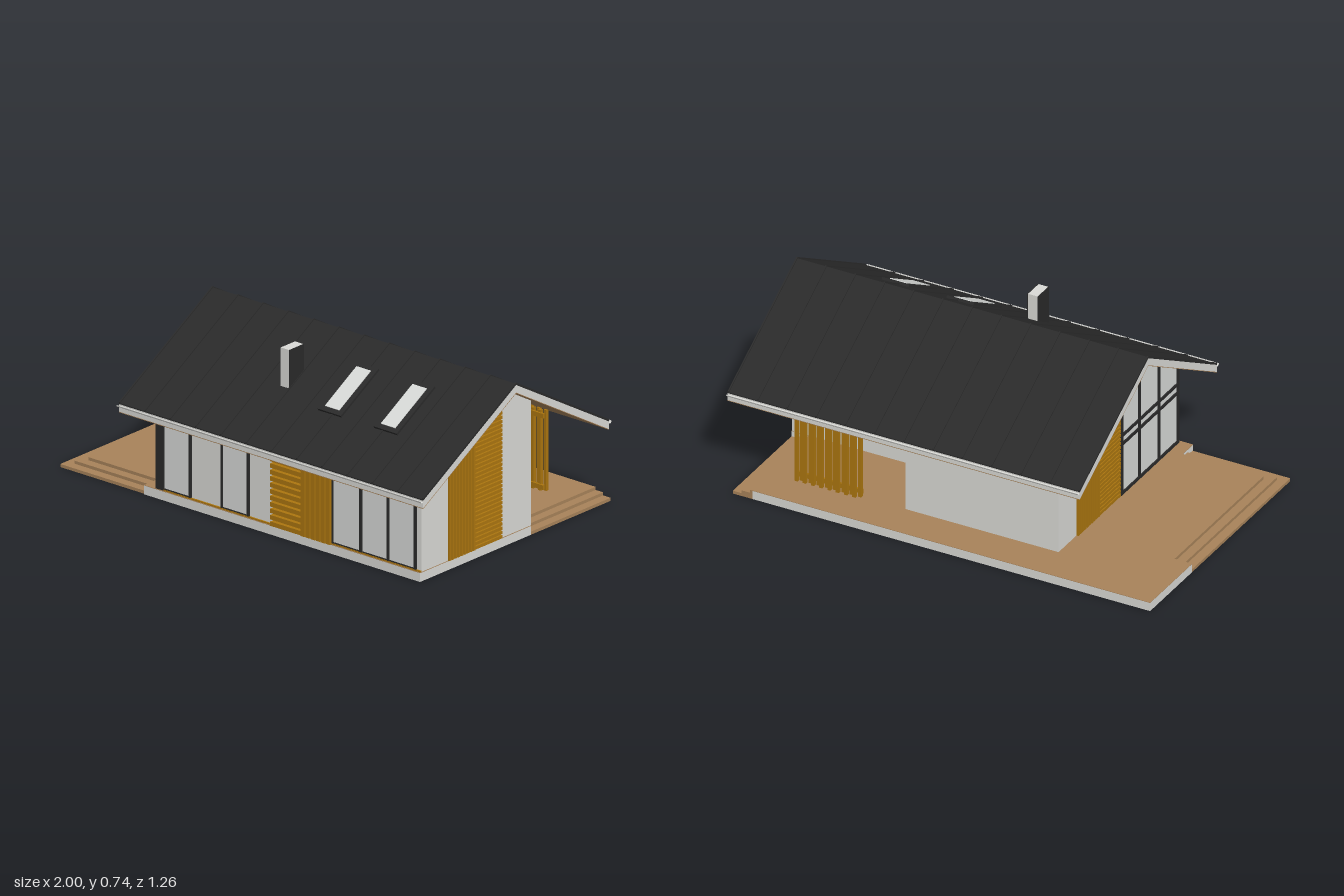
import * as THREE from 'three';

const mat = (name, color) => {
  const m = new THREE.MeshStandardMaterial({ color });
  m.name = name;
  return m;
};

const RIDGE_Z = 0.045, RIDGE_Y = 0.73, RUN = 0.573, SLOPE = 0.576;
const roofY = (z) => RIDGE_Y - SLOPE * Math.abs(z - RIDGE_Z);
const underY = (z) => roofY(z) - 0.042;

export function createModel() {
  const light = mat('light render', 0xdadad6);
  const glass = mat('glass', 0xd8dad8);
  const black = mat('black metal', 0x2a2a2a);
  const deckWood = mat('deck wood', 0xa8835a);
  const slatWood = mat('slat wood', 0xac760f);

  const house = new THREE.Group();
  house.name = 'house';
  const group = (name, parent = house) => {
    const g = new THREE.Group();
    g.name = name;
    parent.add(g);
    return g;
  };
  const add = (parent, name, geo, m) => {
    const mesh = new THREE.Mesh(geo, m);
    mesh.name = name;
    parent.add(mesh);
    return mesh;
  };
  // Box given by its limits on each axis
  const box = (parent, name, m, x0, x1, y0, y1, z0, z1) => {
    const mesh = add(parent, name, new THREE.BoxGeometry(x1 - x0, y1 - y0, z1 - z0), m);
    mesh.position.set((x0 + x1) / 2, (y0 + y1) / 2, (z0 + z1) / 2);
    return mesh;
  };
  const shapeOf = (pts) => new THREE.Shape(pts.map(([a, b]) => new THREE.Vector2(a, b)));
  // Profile of [z, y] points extruded from x0 to x1
  const profile = (parent, name, m, pts, x0, x1) => {
    const geo = new THREE.ExtrudeGeometry(shapeOf(pts), { depth: x1 - x0, bevelEnabled: false });
    geo.rotateY(-Math.PI / 2).translate(x1, 0, 0);
    return add(parent, name, geo, m);
  };
  // Plan of [x, z] points extruded from y0 to y1
  const plan = (parent, name, m, pts, y0, y1) => {
    const geo = new THREE.ExtrudeGeometry(shapeOf(pts.map(([x, z]) => [x, -z])), { depth: y1 - y0, bevelEnabled: false });
    geo.rotateX(-Math.PI / 2).translate(0, y0, 0);
    return add(parent, name, geo, m);
  };

  // Base slab, notched where the steps sit, with a thin deck on top
  const base = group('base');
  const outline = [[-1, -0.63], [0.83, -0.63], [0.83, -0.14], [0.92, -0.14], [0.92, 0.545],
    [-0.55, 0.545], [-0.55, 0.45], [-0.91, 0.45], [-0.91, -0.28], [-1, -0.28]];
  plan(base, 'slab', light, outline, 0, 0.038);
  plan(base, 'deckTop', deckWood, outline, 0.038, 0.04);
  const steps = group('steps', base);
  for (let i = 0; i < 3; i++) {
    const h = 0.04 * (i + 1) / 3, d = 0.04 * i;
    box(steps, 'leftStep', deckWood, -1 + d, -0.91, 0, h, -0.28, 0.54 - d);
    box(steps, 'frontStep', deckWood, -1 + d, -0.55, 0, h, 0.45, 0.54 - d);
    box(steps, 'backStep', deckWood, 0.83, 0.92 - d, 0, h, -0.63, -0.14);
  }

  // Walls, with an open porch at the back
  const walls = group('walls');
  profile(walls, 'mainWalls', light, [[-0.14, 0.04], [0.535, 0.04], [0.535, underY(0.535)],
    [RIDGE_Z, underY(RIDGE_Z)], [-0.14, underY(-0.14)]], -0.485, 0.918);
  profile(walls, 'rearWalls', light, [[-0.46, 0.04], [-0.14, 0.04], [-0.14, underY(-0.14)],
    [-0.46, underY(-0.46)]], -0.485, 0.22);

  // Slatted cladding on a gable: flat slats near the ridge, upright ones beyond
  const gableSlats = (name, x0, x1, zNear, zMid, zFar) => {
    const g = group(name);
    const dir = Math.sign(zFar - zNear), pitch = 0.0185;
    for (let y = 0.042; y < underY(RIDGE_Z) - 0.02; y += pitch) {
      const reach = (RIDGE_Y - 0.042 - y - 0.013) / SLOPE;
      const end = dir > 0 ? Math.min(zMid, RIDGE_Z + reach) : Math.max(zMid, RIDGE_Z - reach);
      box(g, 'flatSlat', slatWood, x0, x1, y, y + 0.0135, Math.min(zNear, end), Math.max(zNear, end));
    }
    const n = Math.round(Math.abs(zFar - zMid) / pitch);
    for (let i = 0; i < n; i++) {
      const a = zMid + dir * i * pitch, b = a + dir * 0.0135;
      const z0 = Math.min(a, b), z1 = Math.max(a, b);
      profile(g, 'uprightSlat', slatWood, [[z0, 0.04], [z1, 0.04], [z1, underY(z1)], [z0, underY(z0)]], x0, x1);
    }
  };
  gableSlats('leftGableSlats', 0.917, 0.927, 0.046, 0.21, 0.37);
  gableSlats('rightGableSlats', -0.494, -0.484, 0.044, -0.13, -0.31);

  // Slatted front panel and sill
  const front = group('frontPanel');
  for (let i = 0; i < 13; i++) {
    const y = 0.042 + i * 0.028;
    box(front, 'flatSlat', slatWood, 0.13, 0.29, y, Math.min(y + 0.019, 0.4), 0.534, 0.554);
  }
  for (let i = 0; i < 6; i++) {
    const x = 0.292 + i * 0.0265;
    box(front, 'uprightSlat', slatWood, x, x + 0.021, 0.04, 0.4, 0.534, 0.554);
  }
  box(front, 'sill', slatWood, -0.45, 0.918, 0.04, 0.046, 0.534, 0.542);

  // Freestanding screen on the porch
  const screen = group('porchScreen');
  for (let i = 0; i < 16; i++) {
    const x = 0.42 + i * 0.019, z = i % 2 ? -0.48 : -0.467;
    box(screen, 'screenSlat', slatWood, x, x + 0.0145, 0.04, 0.39, z, z + 0.015);
  }
  box(screen, 'screenRail', slatWood, 0.42, 0.72, 0.36, 0.38, -0.455, -0.445);
  box(screen, 'screenRail', slatWood, 0.42, 0.72, 0.05, 0.07, -0.455, -0.445);

  // Front windows
  const windows = group('frontWindows');
  for (const [a, b] of [[-0.45, -0.31], [-0.14, 0], [0.45, 0.6], [0.6, 0.745], [0.745, 0.89]]) {
    box(windows, 'pane', glass, a, b, 0.046, 0.4, 0.533, 0.537);
    box(windows, 'mullion', black, b - 0.006, b + 0.006, 0.046, 0.4, 0.533, 0.543);
    box(windows, 'jamb', black, a - 0.003, a + 0.003, 0.046, 0.4, 0.533, 0.543);
    box(windows, 'bottomRail', black, a, b, 0.046, 0.05, 0.533, 0.541);
  }
  box(windows, 'cornerPost', black, -0.491, -0.45, 0.04, underY(0.542), 0.52, 0.541);

  // Glazed right gable
  const glazing = group('gableGlazing');
  const gx0 = -0.494, gx1 = -0.484;
  profile(glazing, 'gablePane', glass, [[0.05, 0.045], [0.53, 0.045], [0.53, underY(0.53)],
    [0.05, underY(0.05)]], -0.488, gx1);
  for (const z of [0.05, 0.2, 0.36, 0.52]) {
    profile(glazing, 'gableMullion', black, [[z, 0.04], [z + 0.014, 0.04],
      [z + 0.014, underY(z + 0.014)], [z, underY(z)]], gx0, gx1);
  }
  for (const y of [0.04, 0.27, 0.31]) box(glazing, 'transom', black, gx0, gx1, y, y + 0.013, 0.05, 0.53);
  profile(glazing, 'topRail', black, [[0.05, underY(0.05) - 0.016], [0.53, underY(0.53) - 0.016],
    [0.53, underY(0.53)], [0.05, underY(0.05)]], gx0, gx1);

  // Roof: light body with black covering, seams and a boarded soffit
  const roof = group('roof');
  const X0 = -0.62, X1 = 1, Z0 = RIDGE_Z - RUN, Z1 = RIDGE_Z + RUN;
  const band = (name, m, top, bottom, x0, x1) => profile(roof, name, m, [
    [Z0, roofY(Z0) + bottom], [RIDGE_Z, RIDGE_Y + bottom], [Z1, roofY(Z1) + bottom],
    [Z1, roofY(Z1) + top], [RIDGE_Z, RIDGE_Y + top], [Z0, roofY(Z0) + top]], x0, x1);
  band('roofBody', light, -0.005, -0.038, X0, X1);
  band('roofCovering', black, 0, -0.005, X0, X1);
  band('soffit', deckWood, -0.038, -0.041, X0, X1);
  for (let i = 0; i <= 12; i++) {
    const x = X0 + 0.003 + i * (X1 - X0 - 0.006) / 12;
    band('seam', black, 0.005, -0.001, x - 0.003, x + 0.003);
  }
  // Half-round gutters
  for (const z of [Z0 - 0.006, Z1 + 0.006]) {
    const s = new THREE.Shape();
    s.absarc(z, 0.395, 0.01, Math.PI, Math.PI * 2, false);
    s.absarc(z, 0.395, 0.008, Math.PI * 2, Math.PI, true);
    const geo = new THREE.ExtrudeGeometry(s, { depth: X1 - X0, bevelEnabled: false, curveSegments: 8 });
    geo.rotateY(-Math.PI / 2).translate(X1, 0, 0);
    add(roof, 'gutter', geo, light);
  }

  // Skylights lying on the front slope
  for (const x of [0.312, 0.61]) {
    const sky = group('skylight', roof);
    sky.position.set(x, roofY(0.28), 0.28);
    sky.rotation.x = Math.atan(SLOPE);
    box(sky, 'skylightFrame', black, -0.062, 0.062, -0.004, 0.01, -0.135, 0.135);
    box(sky, 'skylightPane', glass, -0.038, 0.038, 0.008, 0.013, -0.113, 0.113);
  }

  // Chimney with dark side plates
  const chimney = group('chimney');
  box(chimney, 'chimneyStack', light, 0.008, 0.052, 0.5, 0.722, 0.26, 0.348);
  box(chimney, 'chimneySide', black, 0.004, 0.008, 0.5, 0.722, 0.26, 0.348);
  box(chimney, 'chimneySide', black, 0.052, 0.056, 0.5, 0.722, 0.26, 0.348);

  return house;
}
